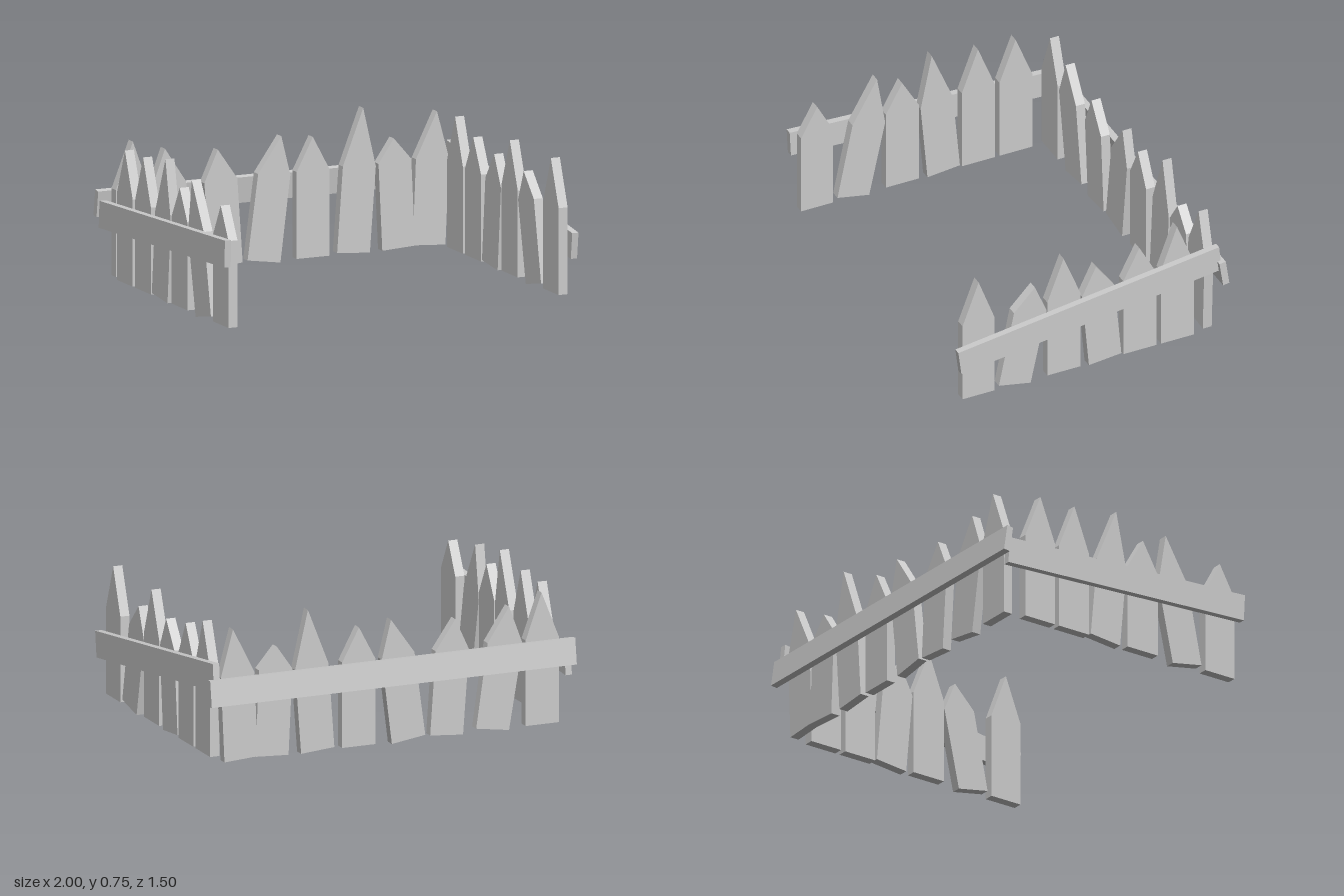
import * as THREE from 'three';

const material = new THREE.MeshStandardMaterial({ color: 0xcccccc, flatShading: true });

// Flat board cut from an outline of [across, up] points
function board(name, points, depth) {
  const shape = new THREE.Shape(points.map(([u, y]) => new THREE.Vector2(u, y)));
  const geometry = new THREE.ExtrudeGeometry(shape, { depth, bevelEnabled: false });
  const mesh = new THREE.Mesh(geometry, material);
  mesh.name = name;
  return mesh;
}

// Turns a board so its outline lies along z and its thickness runs from x towards -x
function alongZ(mesh, x) {
  mesh.rotation.y = -Math.PI / 2;
  mesh.position.x = x;
  return mesh;
}

// Pointed picket: bottom two corners, shoulders and tip
const picket = ([b0, b1, s1, s0], tip) => board('picket', [b0, b1, s1, tip, s0], 0.05);

// Upright picket base
const upright = (a, b) => [[a, 0.02], [b, 0.02], [b, 0.465], [a, 0.465]];

export function createModel() {
  const group = new THREE.Group();
  group.name = 'picketFence';

  // Back row of pickets: base corners and tip
  const backRow = new THREE.Group();
  backRow.name = 'backPickets';
  const back = [
    [upright(-0.925, -0.743), [-0.83, 0.705]],
    [[[-0.652, 0.01], [-0.472, 0.037], [-0.535, 0.475], [-0.727, 0.45]], [-0.652, 0.652]],
    [[[-0.4, 0.015], [-0.22, 0.03], [-0.25, 0.465], [-0.433, 0.455]], [-0.358, 0.62]],
    [[[-0.193, 0.037], [-0.01, 0.01], [0.045, 0.455], [-0.134, 0.475]], [-0.005, 0.657]],
    [upright(0.08, 0.262), [0.17, 0.637]],
    [[[0.305, 0.03], [0.487, 0.015], [0.52, 0.455], [0.337, 0.47]], [0.45, 0.76]],
    [[[0.556, 0.018], [0.738, 0.028], [0.717, 0.475], [0.535, 0.465]], [0.62, 0.588]],
    [[[0.725, 0.03], [0.907, 0.018], [0.927, 0.46], [0.743, 0.47]], [0.86, 0.705]],
  ];
  for (const [base, tip] of back) {
    const mesh = picket(base, tip);
    mesh.position.z = -0.697;
    backRow.add(mesh);
  }
  group.add(backRow);

  // Side rows share their bases; the tips differ: [base, left tip, right tip]
  const sides = [
    [upright(0.528, 0.707), [0.617, 0.705], [0.617, 0.63]],
    [[[0.327, 0.005], [0.504, 0.04], [0.42, 0.457], [0.238, 0.42]], [0.303, 0.578], [0.283, 0.695]],
    [upright(0.048, 0.234), [0.143, 0.705], [0.143, 0.63]],
    [[[-0.179, 0.03], [0.002, 0.012], [0.04, 0.44], [-0.14, 0.46]], [-0.038, 0.6], [-0.022, 0.745]],
    [upright(-0.374, -0.19), [-0.28, 0.64], [-0.28, 0.705]],
    [upright(-0.583, -0.4), [-0.49, 0.705], [-0.49, 0.7]],
  ];
  const leftRow = new THREE.Group();
  const rightRow = new THREE.Group();
  leftRow.name = 'leftPickets';
  rightRow.name = 'rightPickets';
  for (const [base, leftTip, rightTip] of sides) {
    leftRow.add(alongZ(picket(base, leftTip), 0.935));
    rightRow.add(alongZ(picket(base, rightTip), -0.9));
  }
  group.add(leftRow, rightRow);

  // Rails: leaning one at the back, a steep one on the left, a gentle one on the right
  group.add(
    alongZ(board('backRail', [[-0.75, 0.325], [-0.715, 0.32], [-0.695, 0.455], [-0.73, 0.46]], 2), 1),
    alongZ(board('leftRail', [[0.733, 0.205], [-0.72, 0.4], [-0.705, 0.54], [0.75, 0.34]], 0.035), 0.975),
    alongZ(board('rightRail', [[0.738, 0.338], [-0.715, 0.265], [-0.705, 0.405], [0.745, 0.478]], 0.035), -0.953),
  );
  return group;
}
